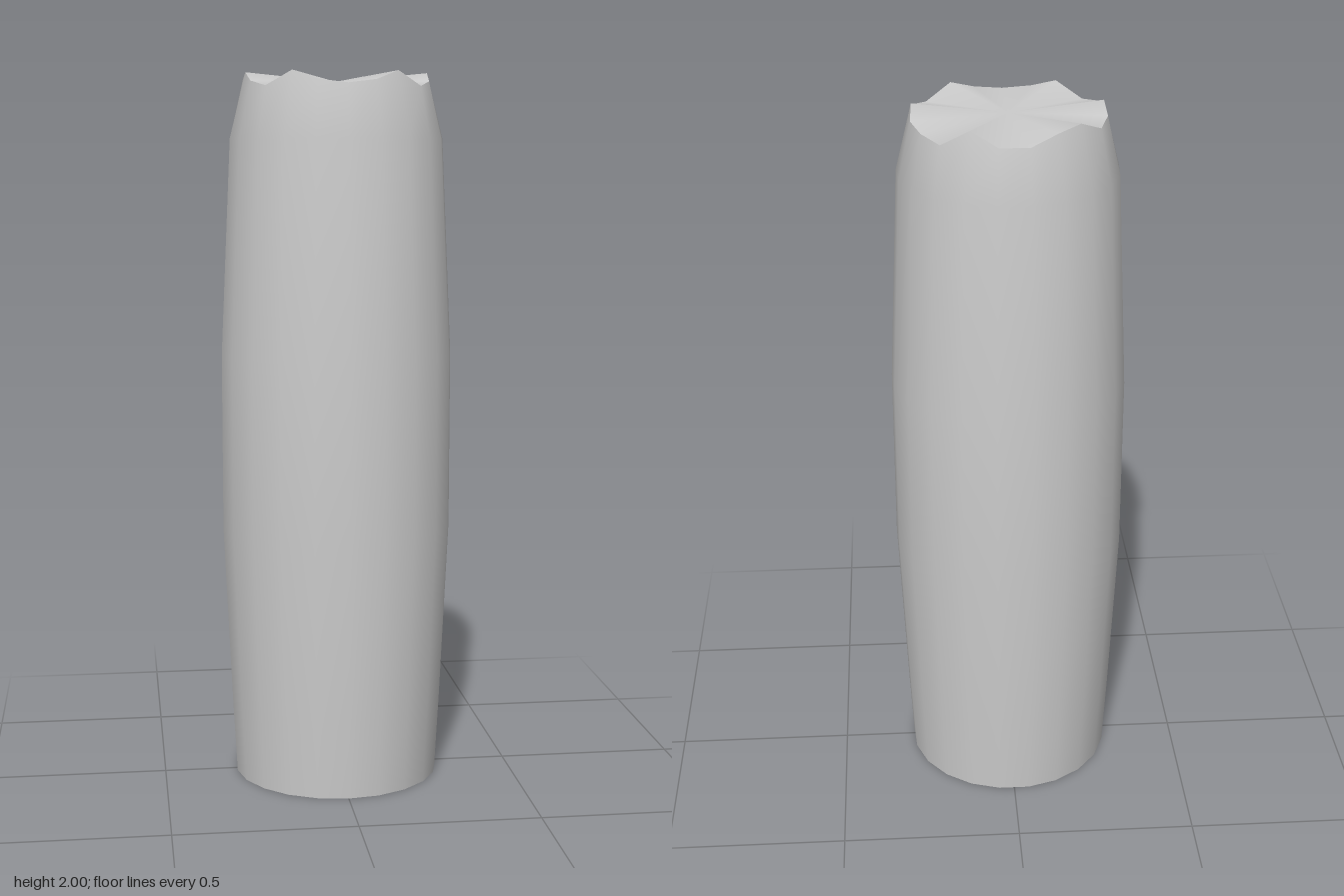
import * as THREE from 'three';

const SIDES = 21;
// wall profile: [radius, height]
const PROFILE = [[0.292, 0], [0.303, 0.2], [0.327, 0.72], [0.327, 1.22], [0.299, 1.82]];
// height of the uneven top rim at each side
const RIM = [1.965, 1.975, 2, 1.96, 1.975, 2, 1.975, 1.965, 1.955, 2, 1.965,
  1.965, 1.99, 2, 1.97, 1.98, 2, 1.975, 1.96, 2, 1.975];

function ringPoint(i, r, y) {
  const a = (i % SIDES) / SIDES * Math.PI * 2;
  return [Math.sin(a) * r, y, Math.cos(a) * r];
}

// higher rim points lean further inward
function rimPoint(i) {
  const y = RIM[i % SIDES];
  return ringPoint(i, 0.27 - (y - 1.96) * 0.4, y);
}

function buildGeometry(points, index) {
  const geo = new THREE.BufferGeometry();
  geo.setAttribute('position', new THREE.Float32BufferAttribute(points.flat(), 3));
  geo.setIndex(index);
  geo.computeVertexNormals();
  return geo;
}

// rings of cross-sections joined by quads
function wallGeometry() {
  const points = [], index = [];
  for (const [r, y] of PROFILE) {
    for (let i = 0; i < SIDES; i++) points.push(ringPoint(i, r, y));
  }
  for (let i = 0; i < SIDES; i++) points.push(rimPoint(i));
  for (let k = 0; k < PROFILE.length; k++) {
    for (let i = 0; i < SIDES; i++) {
      const j = (i + 1) % SIDES;
      const a = k * SIDES + i, b = k * SIDES + j;
      index.push(a, b, b + SIDES, a, b + SIDES, a + SIDES);
    }
  }
  return buildGeometry(points, index);
}

// fan closing a ring, facing up or down
function capGeometry(pointAt, centreY, up) {
  const points = [[0, centreY, 0]], index = [];
  for (let i = 0; i < SIDES; i++) points.push(pointAt(i));
  for (let i = 0; i < SIDES; i++) {
    const a = 1 + i, b = 1 + (i + 1) % SIDES;
    index.push(0, up ? a : b, up ? b : a);
  }
  return buildGeometry(points, index);
}

export function createModel() {
  const group = new THREE.Group();
  group.name = 'roughTopPost';
  const material = new THREE.MeshStandardMaterial({ color: 0xcccccc });
  const add = (name, geometry) => {
    const mesh = new THREE.Mesh(geometry, material);
    mesh.name = name;
    group.add(mesh);
  };
  add('wall', wallGeometry());
  add('roughTop', capGeometry(rimPoint, 1.976, true));
  add('base', capGeometry((i) => ringPoint(i, ...PROFILE[0]), 0, false));
  return group;
}
